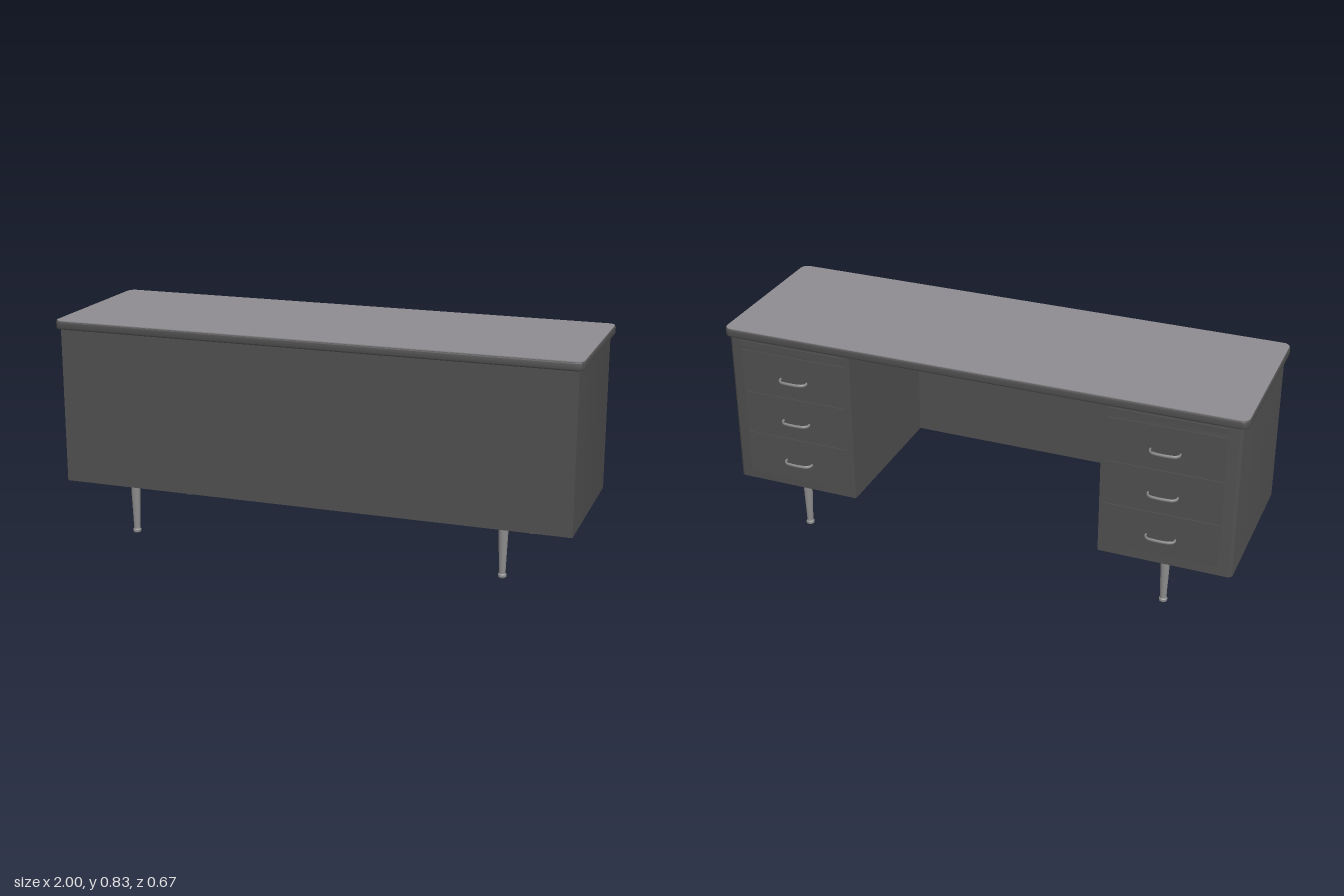
import * as THREE from 'three';
import { toCreasedNormals } from 'three/addons/utils/BufferGeometryUtils.js';

const mat = (name, color) => Object.assign(new THREE.MeshStandardMaterial({ color }), { name });

// Outline in x and -z with its own radius at each corner
function roundedOutline(x0, x1, z0, z1, backLeft, backRight, front) {
  const s = new THREE.Shape(), b = -z0, f = -z1;
  s.moveTo(x0 + front, f);
  s.lineTo(x1 - front, f);
  if (front) s.absarc(x1 - front, f + front, front, -Math.PI / 2, 0);
  s.lineTo(x1, b - backRight);
  if (backRight) s.absarc(x1 - backRight, b - backRight, backRight, 0, Math.PI / 2);
  s.lineTo(x0 + backLeft, b);
  if (backLeft) s.absarc(x0 + backLeft, b - backLeft, backLeft, Math.PI / 2, Math.PI);
  s.lineTo(x0, f + front);
  if (front) s.absarc(x0 + front, f + front, front, Math.PI, Math.PI * 1.5);
  return s;
}

// Upright extrusion standing from y0 to y1
function slab(shape, y0, y1, bevel = 0) {
  const g = new THREE.ExtrudeGeometry(shape, {
    depth: y1 - y0 - 2 * bevel, curveSegments: 8, bevelEnabled: bevel > 0,
    bevelSize: bevel, bevelThickness: bevel, bevelOffset: -bevel, bevelSegments: 3,
  });
  g.rotateX(-Math.PI / 2).translate(0, y0 + bevel, 0);
  return toCreasedNormals(g, 0.7);
}

export function createModel() {
  const desk = new THREE.Group();
  desk.name = 'desk';
  const body = mat('dark grey paint', 0x505050);
  const top = mat('grey worktop', 0x8e8c90);
  const metal = mat('brushed metal', 0x8c8c8c);

  const add = (parent, name, geometry, material, x = 0, y = 0, z = 0) => {
    const m = new THREE.Mesh(geometry, material);
    m.name = name;
    m.position.set(x, y, z);
    parent.add(m);
    return m;
  };
  const box = (w, h, d) => new THREE.BoxGeometry(w, h, d);

  // Worktop: dark rounded rim with a lighter surface
  add(desk, 'worktopRim', slab(roundedOutline(-1, 1, -0.311, 0.333, 0.03, 0.03, 0.03), 0.799, 0.831, 0.006), body);
  add(desk, 'worktopSurface', slab(roundedOutline(-0.997, 0.997, -0.308, 0.33, 0.028, 0.028, 0.028), 0.83, 0.833), top);

  // Front panel closing the kneehole
  add(desk, 'frontPanel', box(0.98, 0.6, 0.012), body, 0, 0.5, 0.304);

  // Tapered leg with a round foot
  const legGeo = toCreasedNormals(new THREE.LatheGeometry([
    [0, 0], [0.012, 0], [0.0155, 0.004], [0.0155, 0.012], [0.012, 0.016],
    [0.0125, 0.04], [0.0175, 0.17], [0.0175, 0.195],
  ].map(p => new THREE.Vector2(...p)), 20), 0.6);

  // Bowed drawer pull, flattened into a strap
  const pullCurve = new THREE.CatmullRomCurve3([
    [-0.054, -0.301], [-0.053, -0.314], [-0.042, -0.325], [-0.02, -0.329],
    [0.02, -0.329], [0.042, -0.325], [0.053, -0.314], [0.054, -0.301],
  ].map(([x, z]) => new THREE.Vector3(x, 0, z)));
  const pullGeo = new THREE.TubeGeometry(pullCurve, 28, 0.0035, 8);
  pullGeo.scale(1, 1.8, 1);

  for (const side of [1, -1]) {
    const pedestal = new THREE.Group();
    pedestal.name = side > 0 ? 'leftPedestal' : 'rightPedestal';
    desk.add(pedestal);

    // Cabinet, rounded on its outer back corner
    const outline = side > 0
      ? roundedOutline(0.485, 0.982, -0.301, 0.31, 0, 0.018, 0)
      : roundedOutline(-0.982, -0.485, -0.301, 0.31, 0.018, 0, 0);
    add(pedestal, 'cabinet', slab(outline, 0.2, 0.8), body);

    // Pull-out shelf and three drawers
    const cx = side * 0.718;
    add(pedestal, 'pullOutShelf', box(0.424, 0.02, 0.012), body, cx, 0.781, -0.299);
    for (const y of [0.66, 0.486, 0.312]) {
      add(pedestal, 'drawerFront', box(0.424, 0.17, 0.012), body, cx, y + 0.009, -0.298);
      add(pedestal, 'drawerPull', pullGeo, metal, cx, y - 0.002, -0.003);
    }

    // Legs with mounting plates
    for (const z of [0.25, -0.241]) {
      add(pedestal, 'leg', legGeo, metal, side * 0.724, 0, z);
      add(pedestal, 'legPlate', box(0.106, 0.007, 0.066), metal, side * 0.724, 0.1965, z);
    }
  }
  return desk;
}
